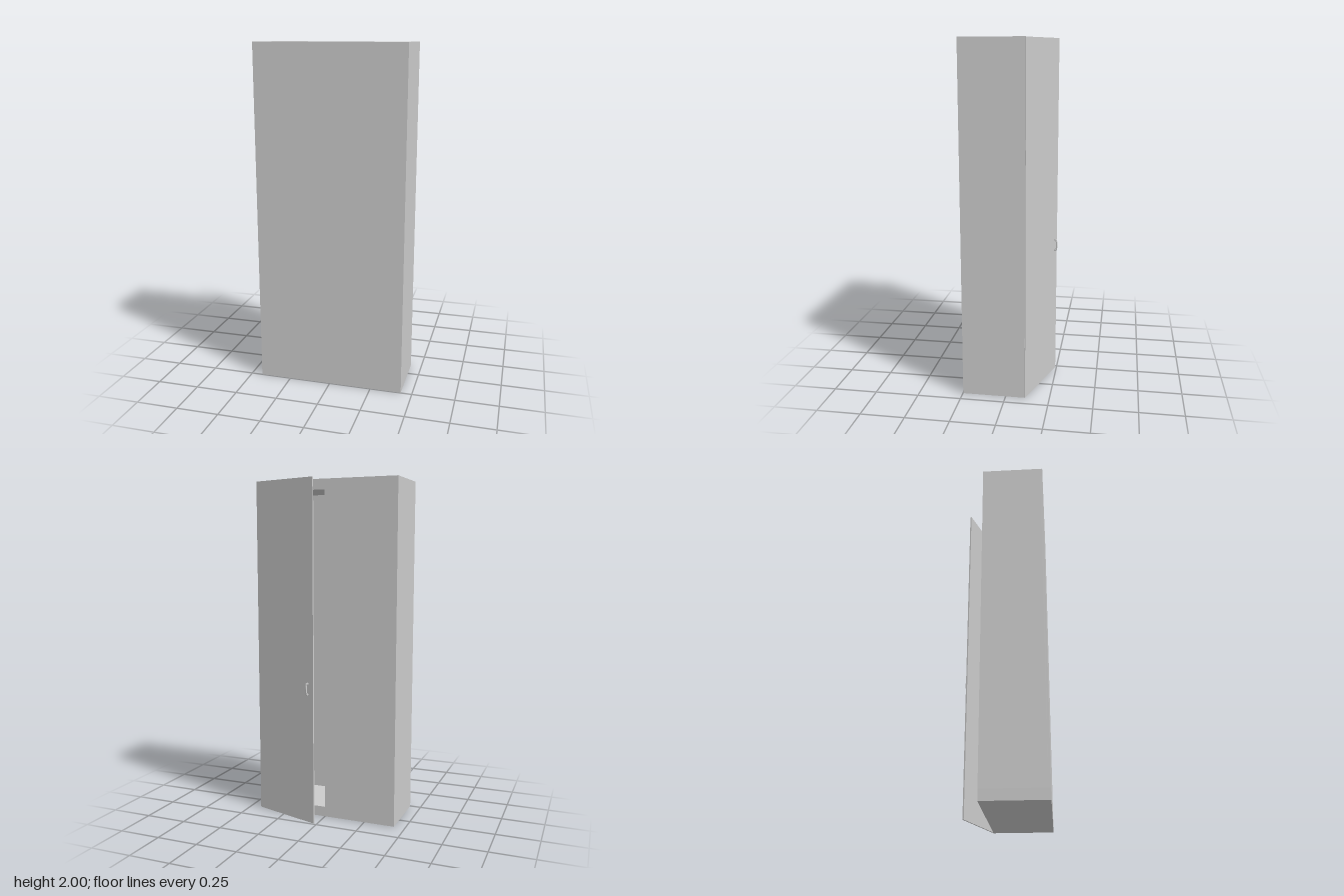
import * as THREE from 'three';

const material = new THREE.MeshStandardMaterial({ color: 0xcccccc });

// Box given by its lower and upper corners
function slab(name, [x0, y0, z0], [x1, y1, z1]) {
  const mesh = new THREE.Mesh(new THREE.BoxGeometry(x1 - x0, y1 - y0, z1 - z0), material);
  mesh.name = name;
  mesh.position.set((x0 + x1) / 2, (y0 + y1) / 2, (z0 + z1) / 2);
  return mesh;
}

export function createModel() {
  const W = 0.434, H = 2, back = -0.11, front = 0.248;
  const wall = 0.015, rail = 0.06;
  const group = new THREE.Group();

  // Cabinet carcass: hollow behind the door, closed on the other half
  const cabinet = new THREE.Group();
  cabinet.name = 'cabinet';
  cabinet.add(
    slab('base', [-W, 0, back], [W, rail, front]),
    slab('roof', [-W, H - rail, back], [W, H, front]),
    slab('frontPanel', [-W, rail, front - wall], [W, H - rail, front]),
    slab('leftSide', [W - wall, rail, back], [W, H - rail, front - wall]),
    slab('rightSide', [-W, rail, back], [-W + wall, H - rail, front - wall]),
    slab('fixedBackPanel', [-W + wall, rail, back], [0, H - rail, back + wall]),
    slab('partition', [-wall, rail, back + wall], [0, H - rail, front - wall])
  );
  group.add(cabinet);

  // Door, ajar, turning about its hinge edge
  const door = new THREE.Group();
  door.name = 'door';
  door.position.set(W, 0, back - 0.003);
  door.rotation.y = -0.303;
  const length = 0.435;
  door.add(slab('doorPanel', [-length, 0.001, 0], [0, H - 0.001, 0.008]));

  // Bowed pull handle: side profile extruded across its width
  const profile = new THREE.Shape();
  profile.moveTo(0, -0.036);
  profile.lineTo(0.012, -0.036);
  profile.quadraticCurveTo(0.019, -0.028, 0.02, 0);
  profile.quadraticCurveTo(0.019, 0.028, 0.012, 0.036);
  profile.lineTo(0, 0.036);
  profile.lineTo(0, 0.028);
  profile.lineTo(0.009, 0.028);
  profile.quadraticCurveTo(0.013, 0.02, 0.013, 0);
  profile.quadraticCurveTo(0.013, -0.02, 0.009, -0.028);
  profile.lineTo(0, -0.028);
  const width = 0.008;
  const handleGeometry = new THREE.ExtrudeGeometry(profile, { depth: width, bevelEnabled: false, curveSegments: 8 });
  handleGeometry.translate(0, 0, -width / 2);
  handleGeometry.rotateY(Math.PI / 2);
  const handle = new THREE.Mesh(handleGeometry, material);
  handle.name = 'handle';
  handle.position.set(-length + 0.04, 0.805, 0);
  door.add(handle);
  group.add(door);

  return group;
}
